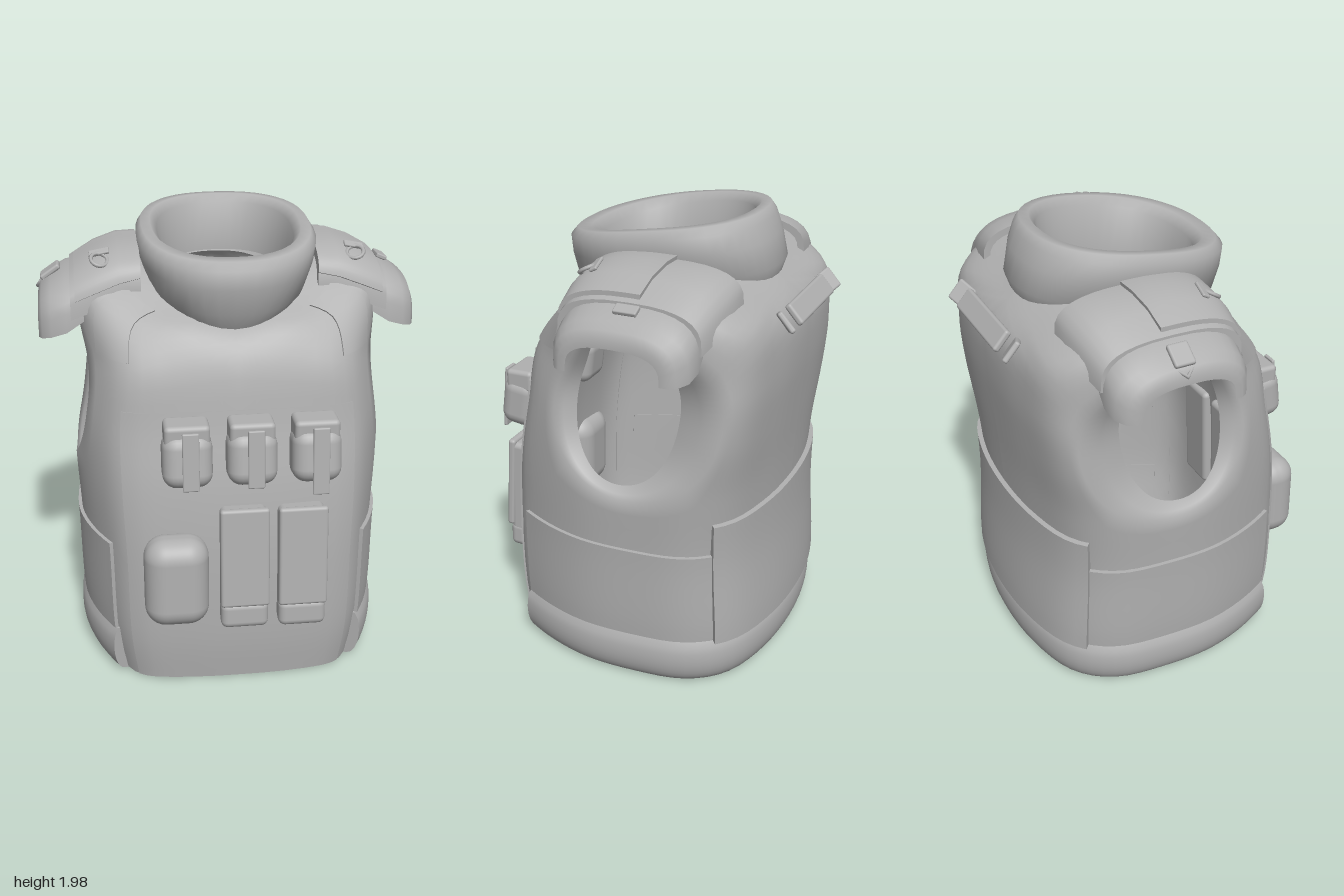
import * as THREE from 'three';
import { toCreasedNormals } from 'three/addons/utils/BufferGeometryUtils.js';
import { RoundedBoxGeometry } from 'three/addons/geometries/RoundedBoxGeometry.js';

const fabric = new THREE.MeshStandardMaterial({ color: 0xb0b0b0, side: THREE.DoubleSide });
fabric.name = 'grey fabric';
const V = (x, y, z) => new THREE.Vector3(x, y, z);
const { lerp, clamp } = THREE.MathUtils;

// half cross-section of the torso (x, z), from front centre to back centre
const SECTION = [[0, 0.57], [0.25, 0.562], [0.48, 0.52], [0.6, 0.36], [0.68, 0.12],
  [0.687, -0.13], [0.65, -0.37], [0.52, -0.53], [0.28, -0.61], [0, -0.635]];
// how far the back corner is pushed out higher up
const CORNER = { 6: [0.025, -0.04], 7: [0.045, -0.035], 8: [0.02, -0.012] };
// height, half width, front depth, back depth, squareness of the back corner
const LEVELS = [[0.015, 0.62, 0.55, 0.585, 0], [0.25, 0.66, 0.57, 0.615, 0], [0.62, 0.67, 0.567, 0.605, 0],
  [0.92, 0.685, 0.538, 0.615, 0.3], [1.18, 0.685, 0.487, 0.635, 0.8], [1.42, 0.65, 0.443, 0.65, 1]];
const SHOULDER = [[0, 1.54, 0.38], [0.22, 1.57, 0.36], [0.42, 1.6, 0.29], [0.55, 1.66, 0.2], [0.62, 1.74, 0.08],
  [0.64, 1.77, -0.12], [0.63, 1.74, -0.34], [0.5, 1.66, -0.55], [0.27, 1.63, -0.61], [0, 1.62, -0.63]];
const NECK = [[0, 1.6, 0.3], [0.14, 1.63, 0.28], [0.24, 1.66, 0.22], [0.31, 1.72, 0.13], [0.345, 1.77, 0.03],
  [0.36, 1.79, -0.1], [0.345, 1.79, -0.24], [0.28, 1.77, -0.38], [0.15, 1.74, -0.47], [0, 1.73, -0.5]];
const RINGS = LEVELS.map(([y, w, f, b, q]) => SECTION.map(([x, z], i) => {
  const [cx, cz] = CORNER[i] || [0, 0];
  return [(x + q * cx) * w / 0.687, y, z > 0 ? z * f / 0.57 : (z + q * cz) * b / 0.635];
})).concat([SHOULDER, NECK]);

const cubic = (a, b, c, d, t) =>
  b + 0.5 * t * (c - a + t * (2 * a - 5 * b + 4 * c - d + t * (3 * (b - c) + d - a)));

// point of a ring; the index wraps round the body, the right half is mirrored
function ringPoint(v, i) {
  const k = ((i % 18) + 18) % 18;
  const p = RINGS[clamp(v, 0, 7)][k > 9 ? 18 - k : k];
  return k > 9 ? [-p[0], p[1], p[2]] : p;
}

// smooth torso surface: u 0 front, 9 back, 18 front again; v 0 hem, 7 neck
function torso(u, v) {
  const i = Math.floor(u), j = Math.min(Math.floor(v), 6);
  const row = (r, c) => cubic(...[-1, 0, 1, 2].map(k => ringPoint(r, i + k)[c]), u - i);
  return V(...[0, 1, 2].map(c => cubic(...[-1, 0, 1, 2].map(k => row(j + k, c)), v - j)));
}
function torsoNormal(u, v) {
  const e = 0.05, lo = Math.max(v - e, 0), hi = Math.min(v + e, 7);
  const du = torso(u + e, v).sub(torso(u - e, v));
  return du.cross(torso(u, hi).sub(torso(u, lo))).normalize();
}

// surface of (nu+1) x (nv+1) points given by a function of grid indices
function grid(nu, nv, fn, crease = 0.7) {
  const pos = [], index = [];
  for (let j = 0; j <= nv; j++) for (let i = 0; i <= nu; i++) pos.push(...fn(i, j).toArray());
  for (let j = 0; j < nv; j++) for (let i = 0; i < nu; i++) {
    const a = j * (nu + 1) + i, b = a + nu + 1;
    index.push(a, a + 1, b + 1, a, b + 1, b);
  }
  const g = new THREE.BufferGeometry();
  g.setAttribute('position', new THREE.Float32BufferAttribute(pos, 3));
  g.setIndex(index);
  return toCreasedNormals(g, crease);
}

// raised panel lying on the torso, with closed edges; offset is a function of height
function panel(u0, u1, v0, v1, offset, nu, nv) {
  return grid(nu + 2, nv + 2, (i, j) => {
    const s = clamp((i - 1) / nu, 0, 1), t = clamp((j - 1) / nv, 0, 1);
    const edge = i === 0 || j === 0 || i === nu + 2 || j === nv + 2;
    const u = lerp(u0, u1, s), v = lerp(v0, v1, t);
    return torso(u, v).addScaledVector(torsoNormal(u, v), edge ? -0.004 : offset(t));
  });
}

// half of the torso shell, spreading out from the armhole with a rim wider at the back
function halfShell() {
  const edge = [], cu = 4.95, cv = 4.3, ru = 1.6, rv = 1.38, n = 20;
  const corners = [[9, 0], [9, 7], [0, 7], [0, 0]];
  corners.forEach((c, k) => {
    const d = corners[(k + 1) % 4];
    for (let i = 0; i < n; i++) edge.push([lerp(c[0], d[0], i / n), lerp(c[1], d[1], i / n)]);
  });
  return grid(14, edge.length, (i, j) => {
    const [eu, ev] = edge[j % edge.length];
    const a = Math.atan2((ev - cv) / rv, (eu - cu) / ru);
    const t = Math.max(i - 2, 0) / 12;
    const p = torso(lerp(cu + ru * Math.cos(a), eu, t), lerp(cv + rv * Math.sin(a), ev, t));
    const k = Math.max(2 - i, 0) / 2;
    p.x -= 0.06 * k * k;
    p.y = lerp(p.y, 1.27, 0.09 * k);
    p.z = lerp(p.z, 0.03, 0.38 * k);
    return p;
  }, 1);
}

// thick flared collar: half width, front z, back z, front y, back y
function collarGeometry() {
  const rows = [[0.27, 0.33, -0.5, 1.57, 1.7], [0.345, 0.375, -0.525, 1.65, 1.78], [0.38, 0.395, -0.495, 1.76, 1.89],
    [0.388, 0.4, -0.465, 1.84, 1.96], [0.365, 0.37, -0.44, 1.875, 1.995], [0.325, 0.31, -0.4, 1.88, 1.995],
    [0.295, 0.27, -0.375, 1.845, 1.96], [0.285, 0.255, -0.37, 1.6, 1.74]];
  const soft = c => Math.sign(c) * Math.abs(c) ** 0.85;
  return grid(40, rows.length - 1, (i, j) => {
    const [w, f, b, yf, yb] = rows[j], a = i / 40 * Math.PI * 2;
    const c = soft(Math.cos(a)), t = (1 - c) / 2;
    return V(w * soft(Math.sin(a)), lerp(yf, yb, t) + 0.012 * Math.sin(Math.PI * t), lerp(f, b, t));
  }, 1.2);
}

// arched shoulder shell: sections are x, top y, bottom y, half length, centre z
function arch(sections, from = 0, to = 1, lift = 0) {
  const n = 16, last = sections.length - 1;
  return grid(last + 2, n + 2, (i, j) => {
    const [x, yt, yb, h, zc] = sections[clamp(i - 1, 0, last)];
    const a = lerp(from, to, clamp((j - 1) / n, 0, 1)) * Math.PI;
    const edge = i === 0 || j === 0 || i === last + 2 || j === n + 2;
    const k = edge ? -0.03 : lift;
    const c = Math.cos(a), s = Math.max(Math.sin(a), 0);
    return V(x, yb + (yt + k - yb) * s ** 0.6, zc + (h + k) * Math.sign(c) * Math.abs(c) ** 0.75);
  }, 0.8);
}
const PAD = [[0.38, 1.86, 1.7, 0.33, -0.17], [0.47, 1.86, 1.67, 0.33, -0.165],
  [0.57, 1.83, 1.63, 0.325, -0.15], [0.68, 1.765, 1.59, 0.31, -0.135]];
const CAP = [[0.62, 1.765, 1.58, 0.29, -0.14], [0.7, 1.75, 1.53, 0.3, -0.14], [0.765, 1.715, 1.51, 0.29, -0.14],
  [0.805, 1.69, 1.5, 0.26, -0.135], [0.82, 1.65, 1.5, 0.23, -0.13]];

export function createModel() {
  const model = new THREE.Group();
  model.name = 'armouredVest';
  const add = (name, geometry, parent = model, p = [0, 0, 0], r = [0, 0, 0]) => {
    const mesh = new THREE.Mesh(geometry, fabric);
    mesh.name = name;
    mesh.position.set(...p);
    mesh.rotation.set(...r);
    parent.add(mesh);
  };
  const box = (w, h, d, r = 0.015) => new RoundedBoxGeometry(w, h, d, 3, r);
  const group = (name, x, y, z, tilt = 0) => {
    const g = new THREE.Group();
    g.name = name;
    g.position.set(x, y, z);
    g.rotation.x = tilt;
    model.add(g);
    return g;
  };

  // both halves, shoulder straps, pads and rings
  for (const side of [1, -1]) {
    const half = new THREE.Group();
    half.name = side > 0 ? 'leftHalf' : 'rightHalf';
    half.scale.x = side;
    model.add(half);
    add('torsoShell', halfShell(), half);
    add('chestStrap', panel(2, 3.1, 5.2, 6.5, () => 0.007, 6, 8), half);
    add('shoulderPad', arch(PAD), half);
    add('shoulderFlap', arch(PAD.slice(0, 3).concat([[0.66, 1.78, 1.6, 0.31, -0.14]]), 0.06, 0.52, 0.016), half);
    add('shoulderCap', arch(CAP), half);
    add('ring', new THREE.TorusGeometry(0.036, 0.009, 6, 16), half, [0.55, 1.83, 0.098], [-1.02, -0.2, 0]);
    add('ringTab', box(0.09, 0.014, 0.035, 0.006), half, [0.55, 1.853, 0.06], [0.5, 0, -0.25]);
  }
  add('capTab', box(0.05, 0.02, 0.1, 0.006), model, [0.72, 1.75, -0.15], [0, 0, -0.4]);
  add('capBuckle', box(0.1, 0.025, 0.09, 0.01), model, [-0.765, 1.725, -0.15], [0, 0, 0.6]);
  add('capRing', new THREE.TorusGeometry(0.045, 0.01, 6, 4), model, [-0.79, 1.69, -0.15], [Math.PI / 2, 0.8, 0]);

  add('collar', collarGeometry());

  // layers around the body
  add('frontPanel', panel(-2.1, 2.1, 0.05, 4.35, () => 0.006, 20, 20));
  add('waistBand', panel(2.6, 15.4, 0.95, 2.12, () => 0.016, 52, 8));
  add('backBand', panel(6.6, 11.4, 0.95, 2.62, t => lerp(0.045, 0.022, t), 20, 10));
  add('waistRoll', panel(2.55, 15.45, 0, 0.95, t => 0.008 + 0.04 * Math.sin(Math.PI * t) ** 0.6, 52, 10));

  // carrying handle on the upper back
  const handle = group('carryHandle', 0, 1.635, -0.655, 0.72);
  add('grip', box(0.44, 0.1, 0.03, 0.012), handle);
  for (const s of [1, -1]) {
    add('handleEnd', box(0.13, 0.1, 0.025, 0.01), handle, [s * 0.265, 0, 0.025], [0, s * 0.5, 0]);
  }

  // three small upper pouches, set into the shell
  [-0.23, 0.04, 0.31].forEach((x, k) => {
    const pouch = group('smallPouch', x, 1.12, 0.565, -0.14);
    add('pouchBody', box(0.21, 0.23, 0.17, 0.06), pouch, [0, -0.02, -0.015]);
    add('pouchFlap', box(0.19, 0.1, 0.13, 0.02), pouch, [0, 0.09, -0.015], [0.15, 0, 0]);
    add('pouchStrap', box(0.07, k === 2 ? 0.29 : 0.25, 0.016, 0.006), pouch,
      [0.01, k === 2 ? -0.035 : -0.015, 0.07], [0.06, 0, 0]);
  });

  // two tall pouches, set into the shell
  for (const [x, y] of [[0.005, 0.6], [0.255, 0.595]]) {
    const pouch = group('tallPouch', x, y, 0.605, -0.04);
    add('pouchBody', box(0.2, 0.54, 0.12, 0.025), pouch, [0, 0, -0.02]);
    add('pouchFlap', box(0.21, 0.45, 0.035, 0.014), pouch, [0, 0.06, 0.036], [-0.03, 0, 0]);
    add('pouchBase', box(0.205, 0.12, 0.085, 0.03), pouch, [0, -0.215, 0.004]);
  }

  // rounded pouch
  const round = group('roundedPouch', -0.285, 0.56, 0.605, -0.02);
  add('pouchBody', new RoundedBoxGeometry(0.275, 0.4, 0.2, 6, 0.09), round);
  return model;
}
